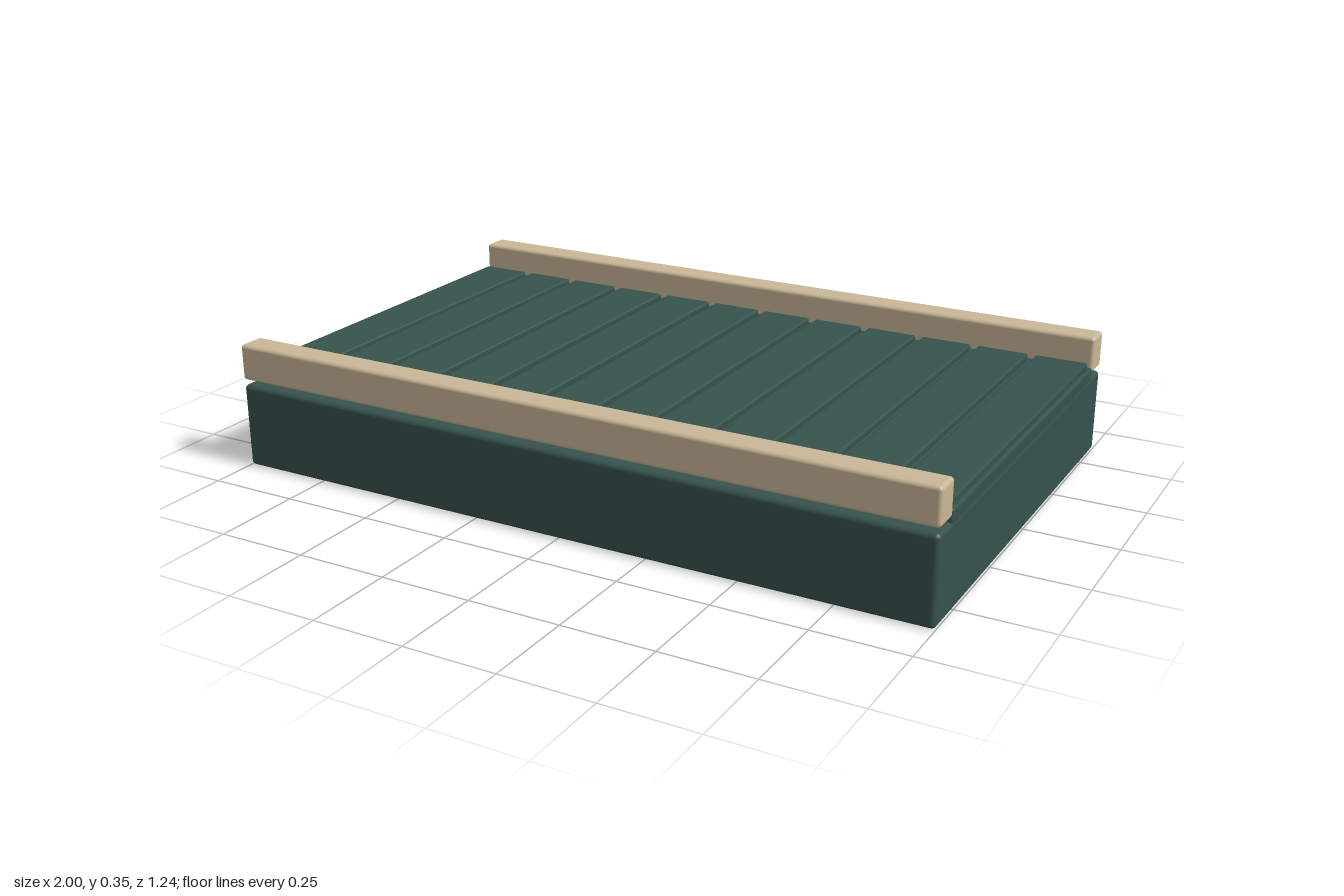
import * as THREE from 'three';
import { RoundedBoxGeometry } from 'three/addons/geometries/RoundedBoxGeometry.js';

export function createModel() {
  const group = new THREE.Group();
  const green = new THREE.MeshStandardMaterial({ color: 0x36524d });
  green.name = 'dark green';
  const wood = new THREE.MeshStandardMaterial({ color: 0xc9b797 });
  wood.name = 'pale wood';

  // Softly rounded box given by its size, its underside height and its x, z centre
  function block(name, material, [w, h, d], radius, bottom, x = 0, z = 0) {
    const mesh = new THREE.Mesh(new RoundedBoxGeometry(w, h, d, 3, radius), material);
    mesh.name = name;
    mesh.position.set(x, bottom + h / 2, z);
    group.add(mesh);
  }

  // Main body and the raised deck on top of it
  block('base', green, [2, 0.235, 1.24], 0.013, 0);
  block('deck', green, [1.998, 0.04, 1.084], 0.006, 0.225);

  // Twelve planks across the deck
  const count = 12, pitch = 2 / count;
  for (let i = 0; i < count; i++) {
    const x = (i - (count - 1) / 2) * pitch;
    block('plank' + (i + 1), green, [0.145, 0.02, 1.054], 0.006, 0.262, x);
  }

  // Wooden rails along the front and back edges
  for (const [name, side] of [['frontRail', 1], ['backRail', -1]]) {
    block(name, wood, [2, 0.1, 0.078], 0.01, 0.249, 0, side * 0.581);
  }
  return group;
}
